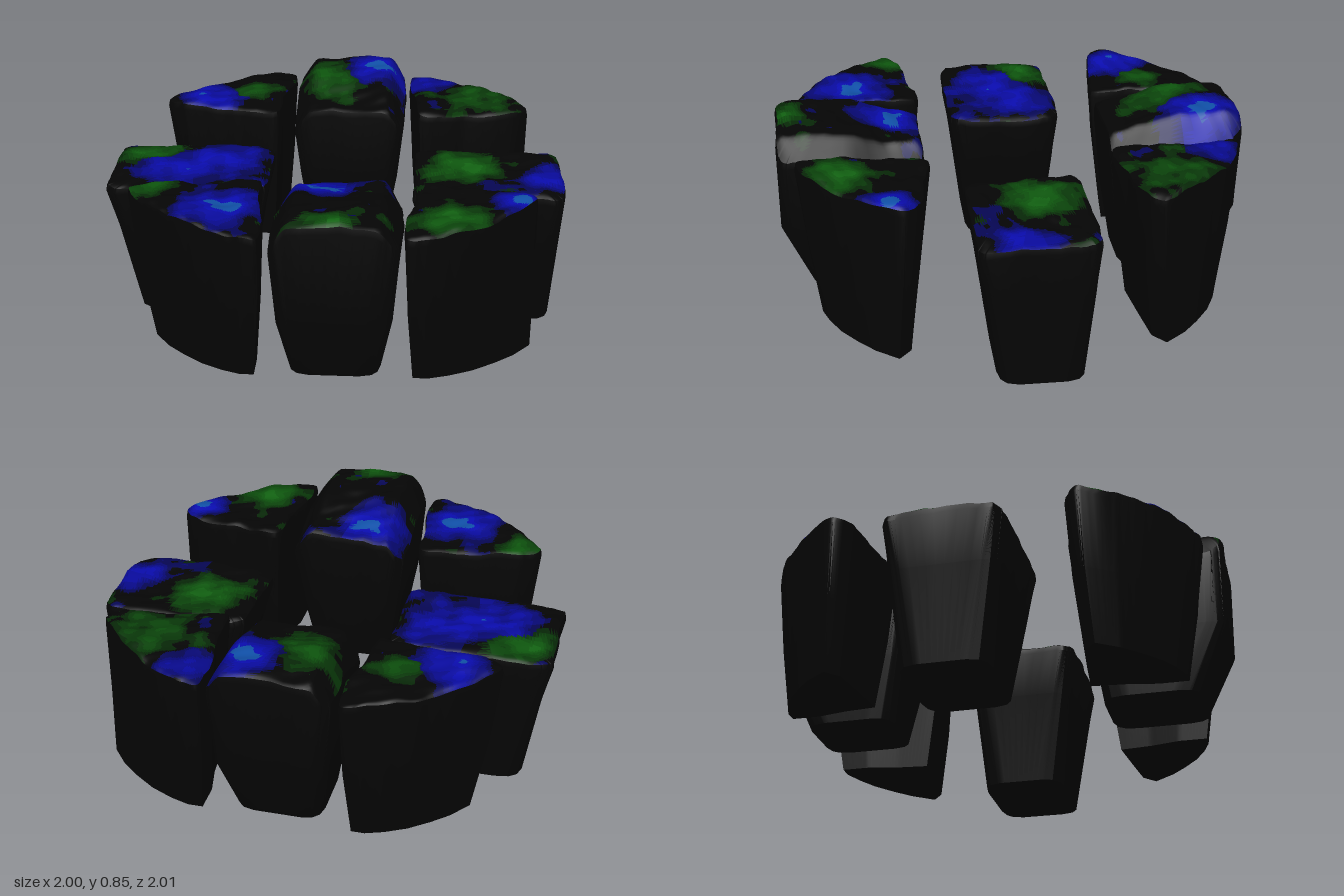
import * as THREE from 'three';
import { toCreasedNormals } from 'three/addons/utils/BufferGeometryUtils.js';

const STEPS = 9;      // samples between two outline points
const CAP_RINGS = 28;
const LEVELS = 6;     // lichen shades per colour
const { lerp, smoothstep, clamp } = THREE.MathUtils;

// Dark stone, with lichen shades fading out of it
const stoneColor = new THREE.Color(0x050505);
const stoneMaterial = new THREE.MeshStandardMaterial({ color: stoneColor });
const shades = (color, tip) => Array.from({ length: LEVELS }, (_, i) => new THREE.MeshStandardMaterial({
  color: i < LEVELS - 1 ? stoneColor.clone().lerp(new THREE.Color(color), (i + 1) / (LEVELS - 1)) : new THREE.Color(tip),
}));
const materials = { blue: shades(0x0a0cb0, 0x1050a8), green: shades(0x0e560e, 0x126212) };

// Unit outline of a ring wedge: straight inner sides, curved outer side
const wedge = [[0.09, 0], [0.5, 0.05], [0.87, 0.1], [1, 0.23], [0.85, 0.46], [0.69, 0.63], [0.5, 0.8], [0.3, 0.92], [0.13, 0.99], [0, 0.99], [0, 0.68], [0.06, 0.35]];

// Unit outline of a square block; a higher power rounds the corners more
function block(power) {
  const side = (v) => 0.5 + 0.5 * Math.sign(v) * Math.abs(v) ** power;
  return Array.from({ length: 16 }, (_, i) => {
    const a = (i + 0.5) * Math.PI / 8;
    return [side(Math.cos(a)), side(Math.sin(a))];
  });
}

// Smooth rolling noise, about -1 to 1
const noise = (x, z) => 0.5 * Math.sin(9 * x + 4 * z + 1) * Math.cos(10 * z - 3 * x)
  + 0.3 * Math.sin(23 * x - 13 * z) * Math.cos(19 * z + 7 * x) + 0.2 * Math.sin(41 * x + 29 * z) * Math.cos(37 * z - 11 * x);

// Skins a stack of equal closed rings of Vector3
function loft(rings) {
  const n = rings[0].length, index = [];
  for (let j = 0; j < rings.length - 1; j++) {
    for (let i = 0; i < n; i++) {
      const k = (i + 1) % n, a = j * n + i, b = j * n + k;
      index.push(a, a + n, b, b, a + n, b + n);
    }
  }
  const g = new THREE.BufferGeometry().setFromPoints(rings.flat());
  g.setIndex(index);
  return g;
}

const average = (pts) => pts.reduce((a, p) => a.add(p), new THREE.Vector3()).divideScalar(pts.length);

// Lichen shade at a point on the top, such as blue3; a spot is [x, z, radius]
function shadeAt(blue, green, x, z) {
  const spot = ([cx, cz, r]) => 0.9 * Math.exp(-((x - cx) ** 2 + (z - cz) ** 2) / (r * r));
  const b = spot(blue) + 0.5 * noise(x * 1.1 + 2, z * 1.1), g = spot(green) - 0.5 * noise(x * 1.2 - 1, z * 1.2);
  const level = clamp(Math.floor((Math.max(b, g) - 0.15) * 7), 0, LEVELS);
  return level ? (b > g ? 'blue' : 'green') + level : 'stone';
}

// box: [xMin, xMax, zMin, zMax] of the top before mirroring by sx, sz; inset: how far each side
// draws in at the base; waist: share of the outer z inset at mid height; drop: sink of the inner
// edge; shoulder: sink of the left and right edges
function buildStone({ name, outline, baseOutline, sx = 1, sz = 1, box, inset, y, waist = 0.4, drop = 0, shoulder = 0, blue, green }) {
  const group = new THREE.Group();
  group.name = name;

  // Outline fitted into the box, drawn in by a share of the inset, then mirrored
  const corners = (shape, k, kOuter, h) => {
    const [x0, x1, z0, z1] = box;
    const pts = shape.map(([u, v]) => new THREE.Vector3(
      sx * lerp(x0 + k * inset[0], x1 - k * inset[1], u), h,
      sz * lerp(z0 + k * inset[2], z1 - kOuter * inset[3], v)));
    return sx * sz < 0 ? pts.reverse() : pts;
  };
  // Straight-edged section
  const section = (shape, k, kOuter, h) => {
    const pts = corners(shape, k, kOuter, h);
    return pts.flatMap((p, i) => Array.from({ length: STEPS },
      (_, j) => p.clone().lerp(pts[(i + 1) % pts.length], j / STEPS)));
  };

  // Rounded, slightly wavy rim
  const topCorners = corners(outline, 0, 0, 0);
  const centre = average(topCorners);
  const rim = new THREE.CatmullRomCurve3(topCorners, true, 'catmullrom', 0.4)
    .getPoints(outline.length * STEPS).slice(0, -1)
    .map((p) => p.sub(centre).multiplyScalar(0.995 + 0.03 * noise(p.x * 2, p.z * 2)).add(centre));

  // Uneven top with a slightly softened edge
  const height = (x, z, t) => y[1] + 0.02 * noise(x, z) - 0.015 * t ** 14
    - drop * (1 - smoothstep(Math.abs(z), 0.45, 0.75))
    - shoulder * smoothstep(Math.abs(x - centre.x), 0.17, 0.27);
  const capRing = (t) => rim.map((p) => {
    const q = centre.clone().lerp(p, t * (1 - 0.015 * t ** 14));
    return q.setY(height(q.x, q.z, t));
  });

  // Tapered body
  const bottom = section(baseOutline, 1, 1, y[0]);
  const hub = average(bottom);
  const upper = rim.map((p) => p.clone().setY(height(p.x, p.z, 1) - 0.025));
  const body = new THREE.Mesh(toCreasedNormals(loft([
    bottom.map(() => hub), bottom, section(outline, 0.4, waist, 0.4), upper, capRing(1)]), 0.5), stoneMaterial);
  body.name = 'body';
  group.add(body);

  // Top surface, split into lichen patches
  const rings = [];
  for (let j = 0; j <= CAP_RINGS; j++) rings.push(capRing(1 - j / CAP_RINGS));
  const cap = loft(rings);
  cap.computeVertexNormals();
  const pos = cap.attributes.position, all = cap.index.array, patches = {};
  for (let i = 0; i < all.length; i += 3) {
    const tri = [all[i], all[i + 1], all[i + 2]];
    const x = tri.reduce((a, v) => a + pos.getX(v), 0) / 3, z = tri.reduce((a, v) => a + pos.getZ(v), 0) / 3;
    (patches[shadeAt(blue, green, x, z)] ??= []).push(...tri);
  }
  for (const shade in patches) {
    cap.setIndex(patches[shade]);
    const material = shade === 'stone' ? stoneMaterial : materials[shade.slice(0, -1)][shade.at(-1) - 1];
    const mesh = new THREE.Mesh(cap.toNonIndexed(), material);
    mesh.name = `${shade}Top`;
    group.add(mesh);
  }
  return group;
}

export function createModel() {
  const model = new THREE.Group();
  model.name = 'stoneRing';
  const add = (stone) => model.add(buildStone(stone));
  const square = { outline: block(0.2), baseOutline: block(0.38) };

  // Tall front and back blocks
  const tall = { ...square, inset: [0.07, 0.08, 0.07, 0.12], y: [0.115, 0.84], waist: 0.02, drop: 0.07, shoulder: 0.1 };
  add({ ...tall, name: 'frontStone', box: [-0.22, 0.31, 0.38, 1], blue: [-0.02, 0.5, 0.17], green: [0.03, 0.96, 0.1] });
  add({ ...tall, name: 'backStone', sz: -1, box: [-0.23, 0.29, 0.42, 1], blue: [0.16, -0.84, 0.2], green: [-0.05, -0.72, 0.15] });

  // Low side blocks
  const low = { ...square, y: [0.005, 0.645] };
  add({ ...low, name: 'rightStone', sx: -1, box: [0.29, 1, -0.29, 0.22], inset: [0.11, 0.11, 0.05, 0.08], blue: [-0.6, -0.02, 0.28], green: [-0.88, -0.16, 0.14] });
  add({ ...low, name: 'leftStone', y: [0, 0.645], box: [0.34, 1, -0.28, 0.23], inset: [0.12, 0.04, 0.05, 0.09], blue: [0.92, 0.02, 0.16], green: [0.54, -0.08, 0.2] });

  // Wedges between them
  const corner = { outline: wedge, baseOutline: wedge, y: [0.09, 0.765] };
  const left = { ...corner, inset: [0.04, 0.01, 0.07, 0.08] };
  const right = { ...corner, sx: -1, inset: [0.04, 0.1, 0.07, 0.08] };
  add({ ...left, name: 'frontLeftWedge', box: [0.32, 0.86, 0.37, 0.92], blue: [0.76, 0.55, 0.12], green: [0.48, 0.75, 0.16] });
  add({ ...right, name: 'frontRightWedge', box: [0.25, 0.84, 0.37, 0.93], blue: [-0.4, 0.65, 0.22], green: [-0.74, 0.46, 0.1] });
  add({ ...left, name: 'backLeftWedge', sz: -1, box: [0.31, 0.86, 0.41, 0.96], blue: [0.4, -0.82, 0.13], green: [0.6, -0.62, 0.16] });
  add({ ...right, name: 'backRightWedge', sz: -1, box: [0.25, 0.83, 0.43, 0.97], blue: [-0.64, -0.62, 0.18], green: [-0.4, -0.66, 0.1] });
  return model;
}
